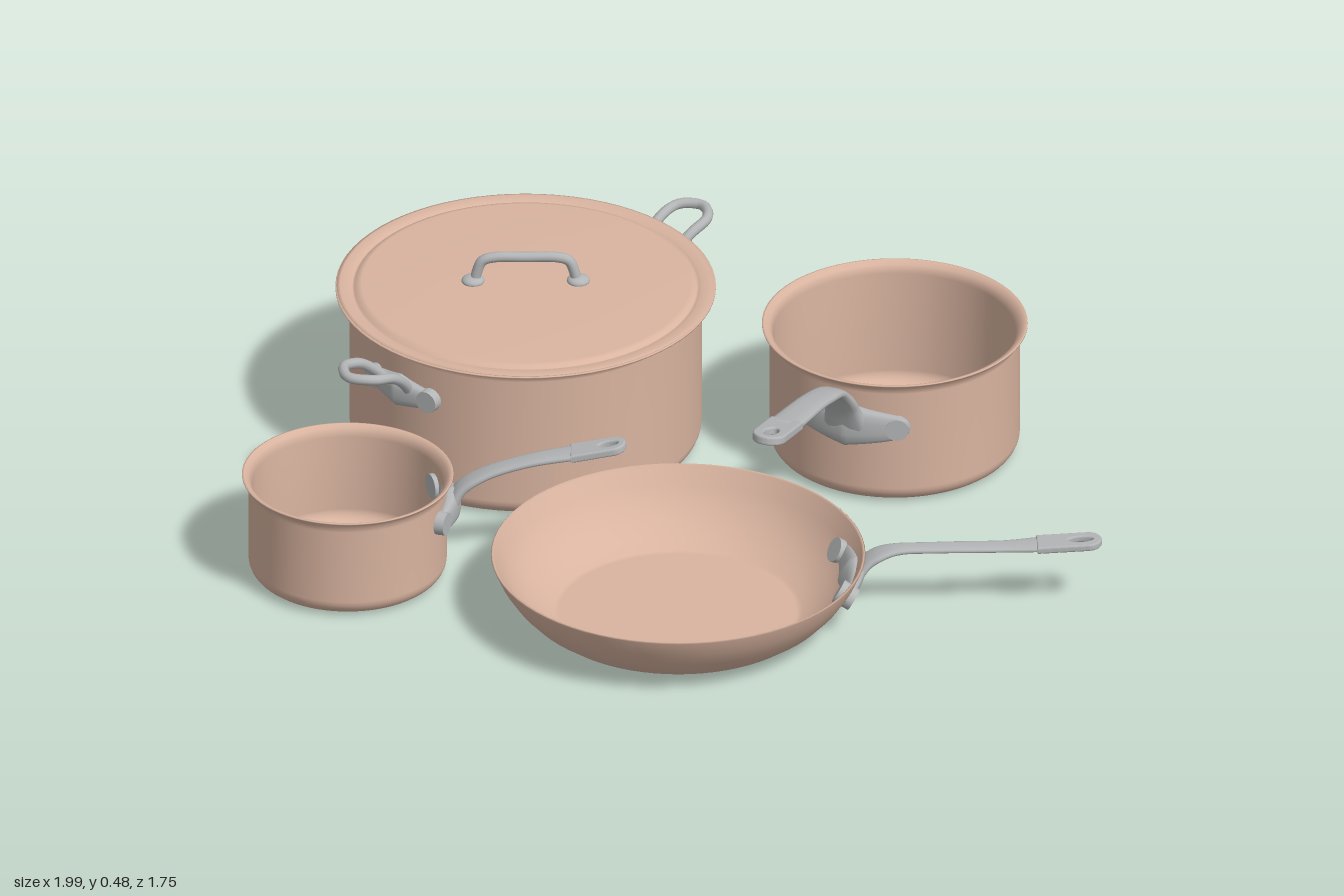
import * as THREE from 'three';

const copper = new THREE.MeshStandardMaterial({ color: 0xd9b4a0, side: THREE.DoubleSide });
copper.name = 'copper';
const steel = new THREE.MeshStandardMaterial({ color: 0xb4b5b6, side: THREE.DoubleSide });
steel.name = 'steel';

const V = (x, y, z = 0) => new THREE.Vector3(x, y, z);

function add(parent, name, geometry, material) {
  const mesh = new THREE.Mesh(geometry, material);
  mesh.name = name;
  parent.add(mesh);
  return mesh;
}

function lathe(points) {
  return new THREE.LatheGeometry(points.map(([x, y]) => new THREE.Vector2(x, y)), 72);
}

// Rounded bar along a curve; side(t) is its width direction, size(t) its half width and half thickness
function sweep(curve, side, size, n = 32, sides = 14) {
  const pos = [], index = [];
  for (let i = -1; i <= n + 1; i++) {
    const t = Math.min(Math.max(i / n, 0), 1);
    const k = i < 0 || i > n ? 0 : 1; // collapsed rings close the ends
    const p = curve.getPoint(t), s = side(t), [w, h] = size(t);
    const nrm = curve.getTangent(t).cross(s).normalize();
    for (let j = 0; j < sides; j++) {
      const a = (j / sides) * Math.PI * 2;
      const c = Math.cos(a), d = Math.sin(a);
      const q = p.clone()
        .addScaledVector(s, k * w * Math.sign(c) * Math.abs(c) ** 0.75)
        .addScaledVector(nrm, k * h * Math.sign(d) * Math.abs(d) ** 0.75);
      pos.push(q.x, q.y, q.z);
    }
  }
  for (let i = 0; i < n + 2; i++) {
    for (let j = 0; j < sides; j++) {
      const a = i * sides + j, b = i * sides + (j + 1) % sides;
      index.push(a, b, a + sides, b, b + sides, a + sides);
    }
  }
  const g = new THREE.BufferGeometry();
  g.setAttribute('position', new THREE.Float32BufferAttribute(pos, 3));
  g.setIndex(index);
  g.computeVertexNormals();
  return g;
}

// Pot wall with rounded base corner and flared lip; the inside follows the outside
function potProfile(r, h, lip, base) {
  const t = 0.009, c = 0.04, out = [], inn = [];
  for (let i = 0; i <= 6; i++) {
    const a = (i / 6) * Math.PI / 2;
    out.push([r - c + c * Math.sin(a), c - c * Math.cos(a)]);
    inn.unshift([r - c + (c - t) * Math.sin(a), c - (c - t) * Math.cos(a)]);
  }
  const rim = [[r, h - 0.03], [r + 0.004, h - 0.016], [lip - 0.005, h - 0.005], [lip, h - 0.003],
    [lip, h], [lip - 0.005, h + 0.001], [r, h - 0.006], [r - t, h - 0.025]];
  return [[base, 0], ...out, ...rim, ...inn, [base, t]];
}

// Wall plate bent round the vessel, with two rivets passing through it
function mount(group, R, y, half, height, tilt = 0) {
  const span = half / R;
  const radial = a => V(Math.cos(a), 0, Math.sin(a));
  const arc = new THREE.CatmullRomCurve3(
    Array.from({ length: 9 }, (_, i) => radial((i / 4 - 1) * span).multiplyScalar(R + 0.006).setY(y)));
  const side = t => radial((2 * t - 1) * span).multiplyScalar(Math.sin(tilt)).setY(Math.cos(tilt));
  add(group, 'mountPlate', sweep(arc, side, t => {
    const d = Math.abs(2 * t - 1), round = Math.sqrt(Math.max(0, 1 - d ** 7));
    const mid = (1 - d) ** 1.5;
    return [round * height * (0.75 + 0.55 * mid), round * (0.011 + 0.016 * mid)];
  }, 40), steel);
  for (const s of [-1, 1]) {
    const a = s * span * 0.78;
    const rivet = add(group, 'rivet', new THREE.CylinderGeometry(0.027, 0.03, 0.042, 20), steel);
    const axis = radial(a).multiplyScalar(Math.cos(tilt)).setY(-Math.sin(tilt));
    rivet.quaternion.setFromUnitVectors(V(0, 1, 0), axis);
    rivet.position.copy(radial(a).multiplyScalar(R).setY(y));
  }
}

// Long handle: curved bar and a flat tip with a hanging slot
function longHandle(group, path, widths, tipLength, thick) {
  const curve = new THREE.CatmullRomCurve3(path.map(([u, y]) => V(u, y)));
  const width = t => {
    const f = t * (widths.length - 1), i = Math.min(Math.floor(f), widths.length - 2);
    return THREE.MathUtils.lerp(widths[i], widths[i + 1], THREE.MathUtils.smoothstep(f - i, 0, 1));
  };
  add(group, 'handleBar', sweep(curve, () => V(0, 0, 1),
    t => [width(t), thick * (1 + 0.9 * (1 - t) ** 3)], 40), steel);

  const w = widths[widths.length - 1];
  const shape = new THREE.Shape();
  shape.moveTo(-0.025, -w + 0.004);
  shape.lineTo(tipLength - w, -w + 0.004);
  shape.absarc(tipLength - w, 0, w - 0.004, -Math.PI / 2, Math.PI / 2, false);
  shape.lineTo(-0.025, w - 0.004);
  const hole = new THREE.Path();
  hole.absellipse(tipLength * 0.6, 0, tipLength * 0.27, w * 0.5, 0, Math.PI * 2, true);
  shape.holes.push(hole);
  const g = new THREE.ExtrudeGeometry(shape, {
    depth: thick, bevelThickness: 0.005, bevelSize: 0.004, bevelSegments: 3, curveSegments: 16 });
  g.translate(0, 0, -thick / 2).rotateX(Math.PI / 2);
  const tip = add(group, 'handleTip', g, steel);
  const dir = curve.getTangent(1);
  tip.position.copy(curve.getPoint(1));
  tip.rotation.z = Math.atan2(dir.y, dir.x);
}

// Group whose local +x points along (dx, dz)
function facing(parent, name, dx, dz) {
  const g = new THREE.Group();
  g.name = name;
  g.rotation.y = Math.atan2(-dz, dx);
  parent.add(g);
  return g;
}

function vessel(root, name, x, z) {
  const g = new THREE.Group();
  g.name = name;
  g.position.set(x, 0, z);
  root.add(g);
  return g;
}

export function createModel() {
  const root = new THREE.Group();
  root.name = 'cookwareSet';

  // Small saucepan
  const small = vessel(root, 'smallSaucepan', -0.755, 0.217);
  add(small, 'smallPot', lathe(potProfile(0.23, 0.255, 0.245, 0)), copper);
  const smallHandle = facing(small, 'smallHandle', 1, 0);
  mount(smallHandle, 0.23, 0.175, 0.12, 0.034);
  longHandle(smallHandle, [[0.235, 0.165], [0.262, 0.215], [0.315, 0.252], [0.42, 0.288], [0.545, 0.312]],
    [0.04, 0.032, 0.027, 0.032], 0.102, 0.009);

  // Medium saucepan
  const medium = vessel(root, 'mediumSaucepan', 0.515, -0.385);
  add(medium, 'mediumPot', lathe(potProfile(0.29, 0.32, 0.308, 0)), copper);
  const mediumHandle = facing(medium, 'mediumHandle', -0.381, 0.924);
  mount(mediumHandle, 0.29, 0.205, 0.15, 0.042);
  longHandle(mediumHandle, [[0.295, 0.195], [0.328, 0.27], [0.375, 0.325], [0.47, 0.358], [0.69, 0.397]],
    [0.055, 0.042, 0.033, 0.036, 0.04], 0.118, 0.011);

  // Frying pan
  const pan = vessel(root, 'fryingPan', 0.01, 0.435);
  add(pan, 'panBowl', lathe([[0, 0], [0.275, 0], [0.29, 0.003], [0.325, 0.021], [0.36, 0.047], [0.39, 0.08],
    [0.415, 0.118], [0.434, 0.16], [0.431, 0.163], [0.426, 0.16], [0.407, 0.12], [0.383, 0.085], [0.354, 0.054],
    [0.32, 0.029], [0.287, 0.011], [0.275, 0.009], [0, 0.009]]), copper);
  const panHandle = facing(pan, 'panHandle', 1, -0.045);
  mount(panHandle, 0.398, 0.098, 0.135, 0.034, 0.5);
  longHandle(panHandle, [[0.41, 0.095], [0.445, 0.135], [0.495, 0.157], [0.6, 0.161], [0.76, 0.16], [0.86, 0.164]],
    [0.045, 0.034, 0.022, 0.024, 0.033], 0.123, 0.007);

  // Stock pot, open underneath
  const stock = vessel(root, 'stockPot', -0.34, -0.44);
  add(stock, 'stockPotWall', lathe(potProfile(0.408, 0.388, 0.441, 0.36)), copper);
  for (const s of [1, -1]) {
    const loop = facing(stock, 'loopHandle', s, -s);
    mount(loop, 0.408, 0.278, 0.11, 0.03);
    const path = new THREE.CatmullRomCurve3([V(0.412, 0.28, -0.03), V(0.44, 0.315, -0.042), V(0.49, 0.355, -0.052),
      V(0.55, 0.372, -0.047), V(0.582, 0.374, 0), V(0.55, 0.372, 0.047), V(0.49, 0.355, 0.052),
      V(0.44, 0.315, 0.042), V(0.412, 0.28, 0.03)]);
    add(loop, 'loopBar', new THREE.TubeGeometry(path, 48, 0.0125, 10), steel);
  }

  // Lid with a shallow groove and a bridge handle
  const lid = new THREE.Group();
  lid.name = 'lid';
  stock.add(lid);
  add(lid, 'lidPlate', lathe([[0, 0.385], [0.39, 0.375], [0.435, 0.387], [0.438, 0.391], [0.43, 0.393],
    [0.408, 0.391], [0.402, 0.386], [0.397, 0.386], [0.392, 0.393], [0.38, 0.396], [0.2, 0.4], [0, 0.401]]), copper);
  const bridge = new THREE.CatmullRomCurve3([V(-0.118, 0.398), V(-0.113, 0.425), V(-0.1, 0.455), V(-0.075, 0.464),
    V(0, 0.465), V(0.075, 0.464), V(0.1, 0.455), V(0.113, 0.425), V(0.118, 0.398)]);
  add(lid, 'lidHandle', new THREE.TubeGeometry(bridge, 48, 0.0125, 10), steel);
  for (const s of [-1, 1]) {
    const foot = add(lid, 'lidHandleFoot', new THREE.SphereGeometry(0.027, 20, 12), steel);
    foot.scale.y = 0.5;
    foot.position.set(s * 0.122, 0.403, 0);
  }
  return root;
}
